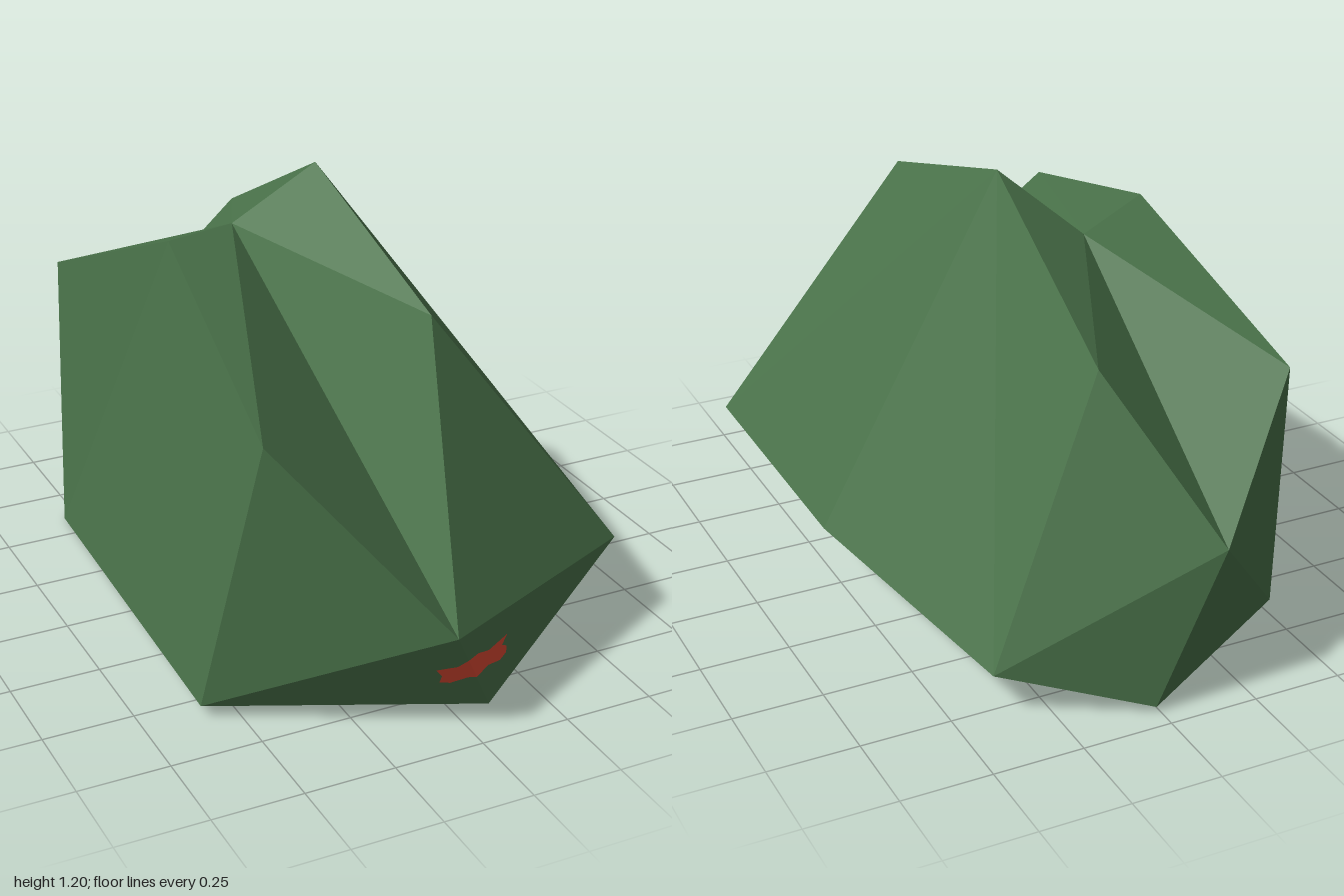
import * as THREE from 'three';

// Corner points of the faceted boulder
const P = {
  // base outline
  D: [0.06, 0.055, 0.92], A: [0.6, 0.28, 0.65], L: [0.56, 0.21, -0.04], B: [0.4, 0.13, -0.79],
  C: [0.01, 0.015, -0.94], F: [-0.54, 0, -0.6], E: [-0.6, 0.04, 0.59],
  // front and back tips
  G: [-0.08, 0.325, 1], M: [-0.145, 0.47, -1],
  // left ridge, right ridge, valley between them
  Q: [0.06, 1, 0.57], K: [0.06, 1.2, -0.1], R: [0.08, 0.89, -0.72],
  H: [-0.485, 0.82, 0.74], I: [-0.385, 1.05, -0.08], N: [-0.48, 0.78, -0.72],
  X: [-0.145, 1.02, -0.205],
};
const v = (k) => new THREE.Vector3(...P[k]);

// Flat-shaded mesh from triangles named by corners, each turned outward
function facets(name, faces, material) {
  const core = new THREE.Vector3(0, 0.45, 0);
  const pos = [];
  for (const face of faces.split(' ')) {
    const [a, b, c] = [...face].map(v);
    const n = b.clone().sub(a).cross(c.clone().sub(a));
    const out = n.dot(a.clone().sub(core)) > 0;
    for (const p of out ? [a, b, c] : [a, c, b]) pos.push(p.x, p.y, p.z);
  }
  const geo = new THREE.BufferGeometry();
  geo.setAttribute('position', new THREE.Float32BufferAttribute(pos, 3));
  geo.computeVertexNormals();
  const mesh = new THREE.Mesh(geo, material);
  mesh.name = name;
  return mesh;
}

// Flat patch laid just in front of the plane through three corners
function patch(name, outline, corners, material) {
  const geo = new THREE.ShapeGeometry(new THREE.Shape(outline.map(([x, y]) => new THREE.Vector2(x, y))));
  const plane = new THREE.Plane().setFromCoplanarPoints(...[...corners].map(v));
  const { normal: n, constant: d } = plane;
  const pos = geo.attributes.position;
  for (let i = 0; i < pos.count; i++) {
    pos.setZ(i, -(n.x * pos.getX(i) + n.y * pos.getY(i) + d) / n.z + 0.004);
  }
  geo.computeVertexNormals();
  const mesh = new THREE.Mesh(geo, material);
  mesh.name = name;
  return mesh;
}

export function createModel() {
  const green = new THREE.MeshStandardMaterial({ color: 0x4a734a, side: THREE.DoubleSide });
  green.name = 'mossGreen';
  const red = new THREE.MeshStandardMaterial({ color: 0xe04a34, side: THREE.DoubleSide });
  red.name = 'markRed';

  const group = new THREE.Group();
  group.name = 'boulder';
  group.add(
    facets('leftFlank', 'GDA GAQ QAK KAL KLB KBR RBM MBC', green),
    facets('rightFlank', 'GED GHE HEI IEF IFN NFM MFC', green),
    facets('valley', 'XGQ XQK XKR XRM XMN XNI XIH XHG', green),
    facets('underside', 'DEA EAL EFL FLB FBC', green),
  );

  // Painted mark folded over the front edge
  group.add(
    patch('markRight', [[-0.037, 0.242], [-0.055, 0.215], [-0.1, 0.2], [-0.08, 0.175],
      [-0.08, 0.15], [-0.055, 0.148], [-0.02, 0.172], [-0.001, 0.173]], 'GED', red),
    patch('markLeft', [[-0.001, 0.173], [0.045, 0.183], [0.095, 0.17], [0.12, 0.18], [0.12, 0.2],
      [0.1, 0.212], [0.12, 0.235], [0.045, 0.228], [0, 0.243], [-0.037, 0.242]], 'GDA', red),
  );
  return group;
}
